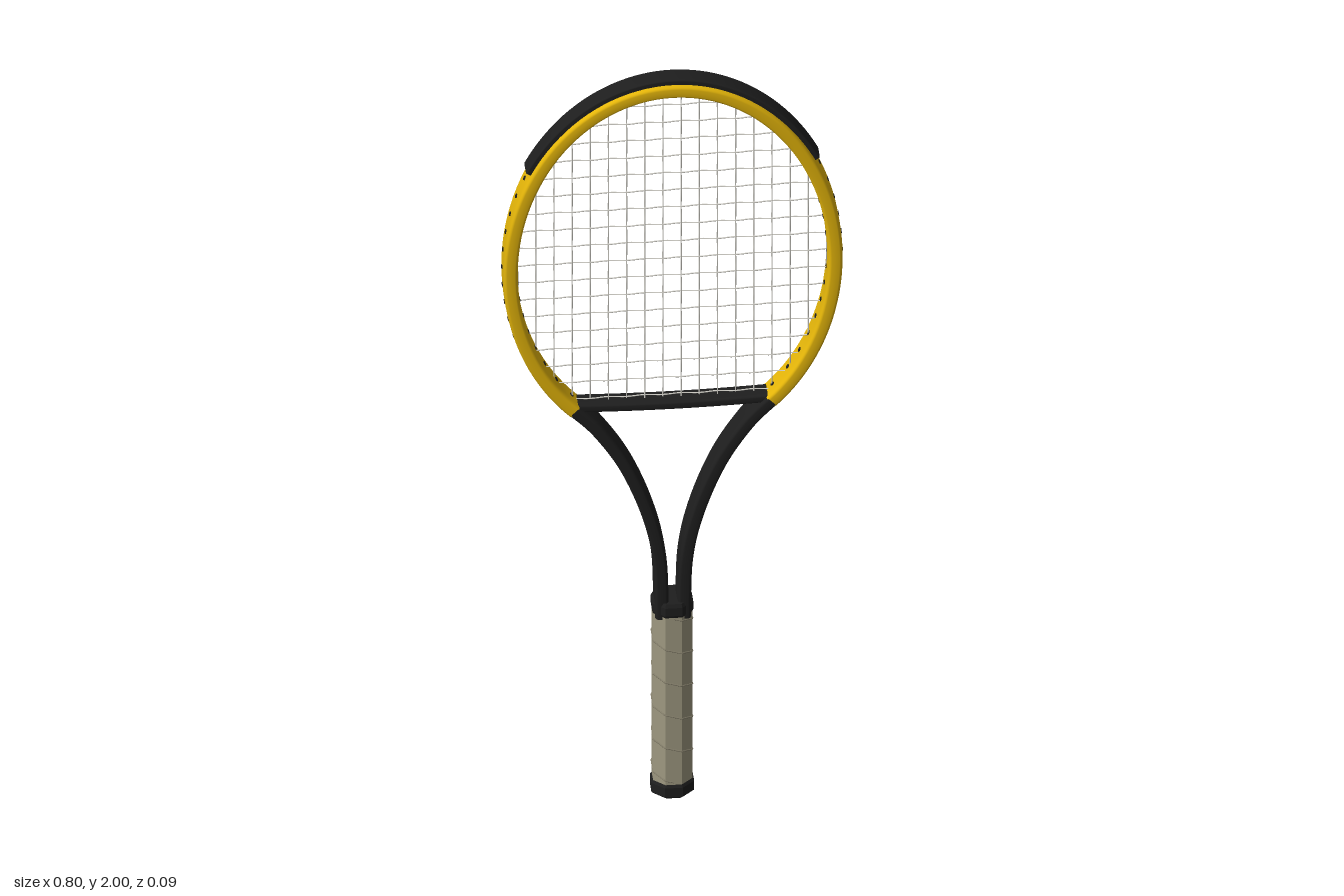
import * as THREE from 'three';

const mat = (name, color, extra = {}) => Object.assign(new THREE.MeshStandardMaterial({ color, ...extra }), { name });

// Sweep a rounded-box section (half width w in plane, half depth d in z) along a flat path
function sweep(pts, w, d, power = 4.5, sides = 28) {
  const pos = [], idx = [], n = pts.length;
  const bend = (v) => Math.sign(v) * Math.abs(v) ** (2 / power);
  const ring = (i) => {
    const a = pts[Math.max(i - 1, 0)], b = pts[Math.min(i + 1, n - 1)];
    const t = new THREE.Vector2(b.x - a.x, b.y - a.y).normalize();
    for (let j = 0; j < sides; j++) {
      const u = (j / sides) * Math.PI * 2, c = bend(Math.cos(u)) * w;
      pos.push(pts[i].x + t.y * c, pts[i].y - t.x * c, bend(Math.sin(u)) * d);
    }
  };
  for (let i = 0; i < n; i++) ring(i);
  for (let i = 0; i < n - 1; i++) for (let j = 0; j < sides; j++) {
    const k = (j + 1) % sides, a = i * sides, b = a + sides;
    idx.push(a + j, b + j, a + k, a + k, b + j, b + k);
  }
  // End caps
  for (const end of [0, n - 1]) {
    const base = pos.length / 3;
    ring(end);
    for (let j = 1; j < sides - 1; j++) idx.push(base, ...(end ? [base + j + 1, base + j] : [base + j, base + j + 1]));
  }
  const g = new THREE.BufferGeometry();
  g.setAttribute('position', new THREE.Float32BufferAttribute(pos, 3));
  g.setIndex(idx);
  g.computeVertexNormals();
  return g;
}

const CY = 1.48, A = 0.38, B = 0.491;
const onHoop = (t, off = 0) => new THREE.Vector2((A + off) * Math.cos(t), CY + (B + off) * Math.sin(t));
const arc = (from, to, steps, off) => Array.from({ length: steps + 1 }, (_, i) => onHoop(from + ((to - from) * i) / steps, off));

export function createModel() {
  const root = new THREE.Group();
  root.name = 'racket';
  const yellow = mat('frame yellow', 0xe4b509);
  const black = mat('black', 0x1e1e1e);
  const blackFlat = mat('black trim', 0x1e1e1e, { flatShading: true });
  const gripMat = mat('grip grey', 0xa09a82, { flatShading: true });
  const seamMat = mat('seam grey', 0x8c8671);
  const stringMat = mat('string white', 0xdedcd4);
  const add = (name, geo, m, parent = root) => {
    const mesh = new THREE.Mesh(geo, m);
    mesh.name = name;
    parent.add(mesh);
    return mesh;
  };
  const group = (name) => {
    const g = new THREE.Group();
    g.name = name;
    root.add(g);
    return g;
  };

  // Head hoop and bumper guard
  const low = -0.92;
  add('hoop', sweep(arc(low, Math.PI - low, 96, 0), 0.0175, 0.036), yellow);
  add('bumperGuard', sweep(arc(0.575, Math.PI - 0.575, 48, 0.0165), 0.0125, 0.025, 8), black);

  // Throat arms, mirrored
  for (const s of [1, -1]) {
    const curve = new THREE.SplineCurve([[0.232, 1.092], [0.175, 1.03], [0.11, 0.925], [0.058, 0.79], [0.031, 0.66], [0.026, 0.5]]
      .map(([x, y]) => new THREE.Vector2(s * x, y)));
    add(s > 0 ? 'leftThroatArm' : 'rightThroatArm', sweep(curve.getPoints(40), 0.0165, 0.0362), black);
  }
  // Throat bridge
  const bridge = [];
  for (let i = 0; i <= 16; i++) {
    const x = -0.235 + (i / 16) * 0.47;
    bridge.push(new THREE.Vector2(x, 1.09 + 0.1 * x * x));
  }
  add('throatBridge', sweep(bridge, 0.011, 0.027), black);

  // Woven strings
  const strings = group('strings'), grommets = group('grommets');
  const mainStep = 0.0425, crossStep = 0.0476, cross0 = 1.108;
  const weave = (name, from, to, count, sign, phase) => {
    const pts = [];
    for (let i = 0; i <= count * 2; i++) {
      const p = from.clone().lerp(to, i / (count * 2));
      const along = sign > 0 ? (p.y - cross0) / crossStep : p.x / mainStep - 0.5;
      pts.push(new THREE.Vector3(p.x, p.y, sign * 0.002 * Math.cos(Math.PI * (along + phase))));
    }
    add(name, new THREE.TubeGeometry(new THREE.CatmullRomCurve3(pts), count * 4, 0.0017, 5), stringMat, strings);
  };
  // A grommet runs through the hoop at the given ellipse angle
  const grommet = (t) => {
    const p = onHoop(t), n = new THREE.Vector3(Math.cos(t) / A, Math.sin(t) / B, 0).normalize();
    const m = add('grommet', new THREE.CylinderGeometry(0.0058, 0.0058, 0.0385, 8), black, grommets);
    m.position.set(p.x, p.y, 0);
    m.quaternion.setFromUnitVectors(new THREE.Vector3(0, 1, 0), n);
  };
  for (let i = -9; i < 9; i++) {
    const x = (i + 0.5) * mainStep, t = Math.acos(x / A), h = B * Math.sin(t);
    const bottom = Math.abs(x) < 0.23 ? 1.09 : CY - h;
    weave('mainString', new THREE.Vector2(x, bottom), new THREE.Vector2(x, CY + h), 20, 1, i);
    if (Math.abs(x) < 0.33) grommet(t);
  }
  for (let k = 0; k < 18; k++) {
    const y = cross0 + k * crossStep, t = Math.asin((y - CY) / B), x = A * Math.cos(t);
    weave('crossString', new THREE.Vector2(-x, y), new THREE.Vector2(x, y), 18, -1, k);
    if (y < 1.77) {
      grommet(t);
      grommet(Math.PI - t);
    }
  }

  // Eight-sided handle parts: profile of [half width, height]
  const handle = (name, profile, m) => {
    const k = 1 / Math.cos(Math.PI / 8);
    const g = new THREE.LatheGeometry(profile.map(([r, y]) => new THREE.Vector2(r * k, y)), 8, Math.PI / 8);
    add(name, g, m).scale.z = 0.93;
  };
  handle('grip', [[0, 0.03], [0.046, 0.03], [0.046, 0.515], [0, 0.515]], gripMat);
  handle('collar', [[0, 0.508], [0.046, 0.508], [0.048, 0.514], [0.048, 0.536], [0.044, 0.545], [0, 0.545]], blackFlat);
  handle('buttCap', [[0, 0], [0.04, 0], [0.05, 0.009], [0.05, 0.034], [0.046, 0.041], [0, 0.041]], blackFlat);

  // Spiral grip seam following the eight flats
  const seam = [], turns = 5;
  for (let i = 0; i <= turns * 32; i++) {
    const a = (i / 32) * Math.PI * 2, q = Math.PI / 4;
    const r = 0.0462 / Math.cos(a - Math.round(a / q) * q);
    seam.push(new THREE.Vector3(r * Math.sin(a), 0.505 - 0.0915 * (i / 32), r * Math.cos(a) * 0.93));
  }
  add('gripSeam', new THREE.TubeGeometry(new THREE.CatmullRomCurve3(seam), turns * 64, 0.002, 5), seamMat);
  return root;
}
